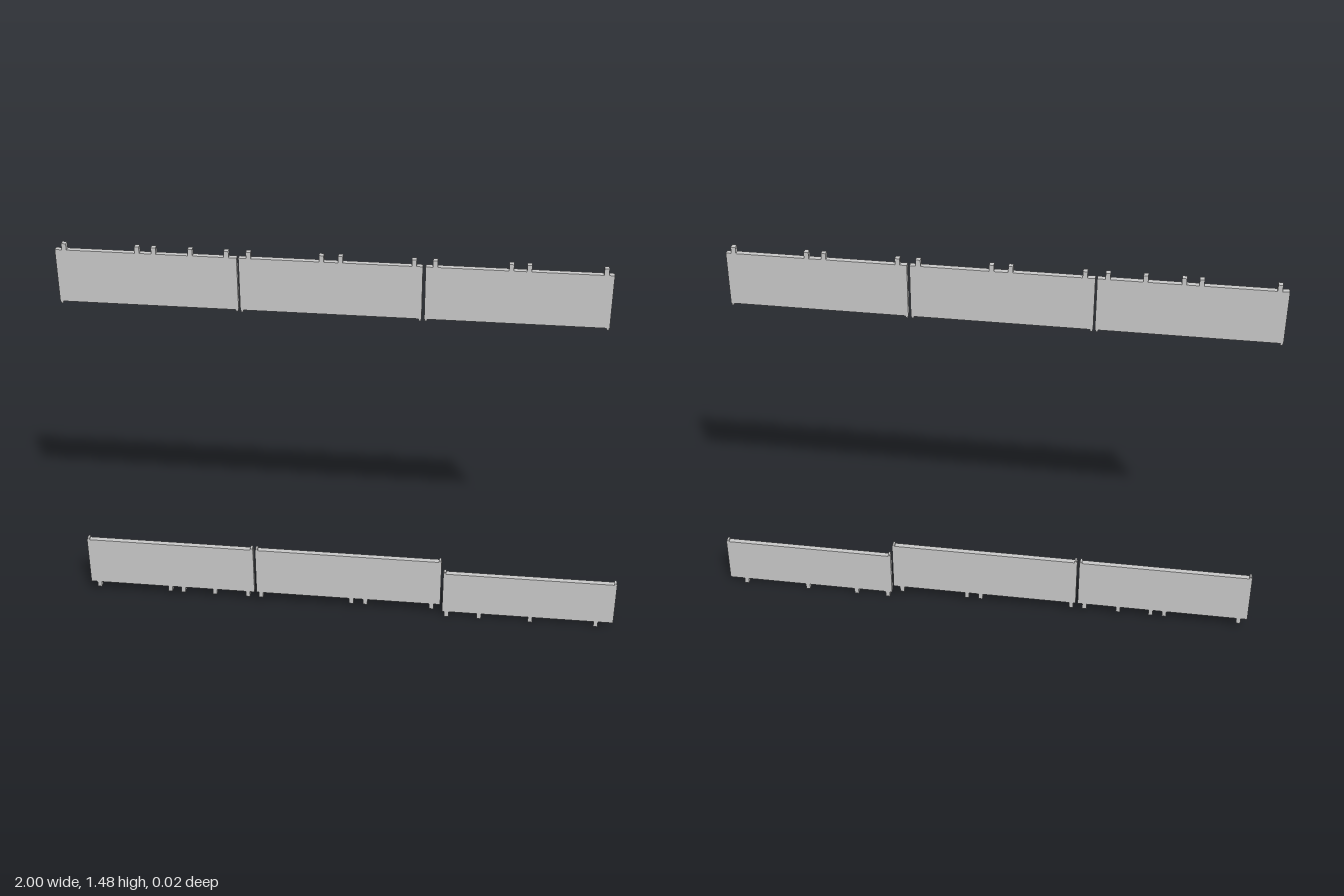
import * as THREE from 'three';

const DEPTH = 0.02;
const TAB_W = 0.016, TAB_H = 0.023;
const NUB_W = 0.008, NUB_H = 0.007;

const material = new THREE.MeshStandardMaterial({ color: 0xcccccc, flatShading: true });

function box(name, x0, x1, y0, y1) {
  const mesh = new THREE.Mesh(new THREE.BoxGeometry(x1 - x0, y1 - y0, DEPTH), material);
  mesh.name = name;
  mesh.position.set((x0 + x1) / 2, (y0 + y1) / 2, 0);
  return mesh;
}

// A flat panel with tabs on one long edge and small corner nubs on the other.
function panel(name, x0, x1, y0, y1, tabs, tabsUp) {
  const group = new THREE.Group();
  group.name = name;
  group.add(box('board', x0, x1, y0, y1));
  for (const x of tabs) {
    const [a, b] = tabsUp ? [y1, y1 + TAB_H] : [y0 - TAB_H, y0];
    group.add(box('tab', x - TAB_W / 2, x + TAB_W / 2, a, b));
  }
  for (const x of [x0 + 0.002, x1 - 0.002 - NUB_W]) {
    const [a, b] = tabsUp ? [y0 - NUB_H, y0] : [y1, y1 + NUB_H];
    group.add(box('cornerNub', x, x + NUB_W, a, b));
  }
  return group;
}

export function createModel() {
  const model = new THREE.Group();
  model.name = 'panelRows';

  // upper row, tabs pointing up
  const upper = [
    [-1, -0.377, [-0.968, -0.717, -0.66, -0.535, -0.412]],
    [-0.371, 0.248, [-0.337, -0.091, -0.027, 0.219]],
    [0.257, 0.877, [0.289, 0.54, 0.599, 0.85]],
  ];
  for (const [x0, x1, tabs] of upper) model.add(panel('upperPanel', x0, x1, 1.26, 1.453, tabs, true));

  // lower row, tabs pointing down; the last panel is shorter and set lower
  const lower = [
    [-1, -0.362, 0.055, 0.251, [-0.968, -0.69, -0.639, -0.516, -0.388]],
    [-0.354, 0.349, 0.055, 0.251, [-0.337, 0.011, 0.064, 0.316]],
    [0.357, 1, 0.023, 0.199, [0.374, 0.497, 0.69, 0.936]],
  ];
  for (const [x0, x1, y0, y1, tabs] of lower) model.add(panel('lowerPanel', x0, x1, y0, y1, tabs, false));

  return model;
}
